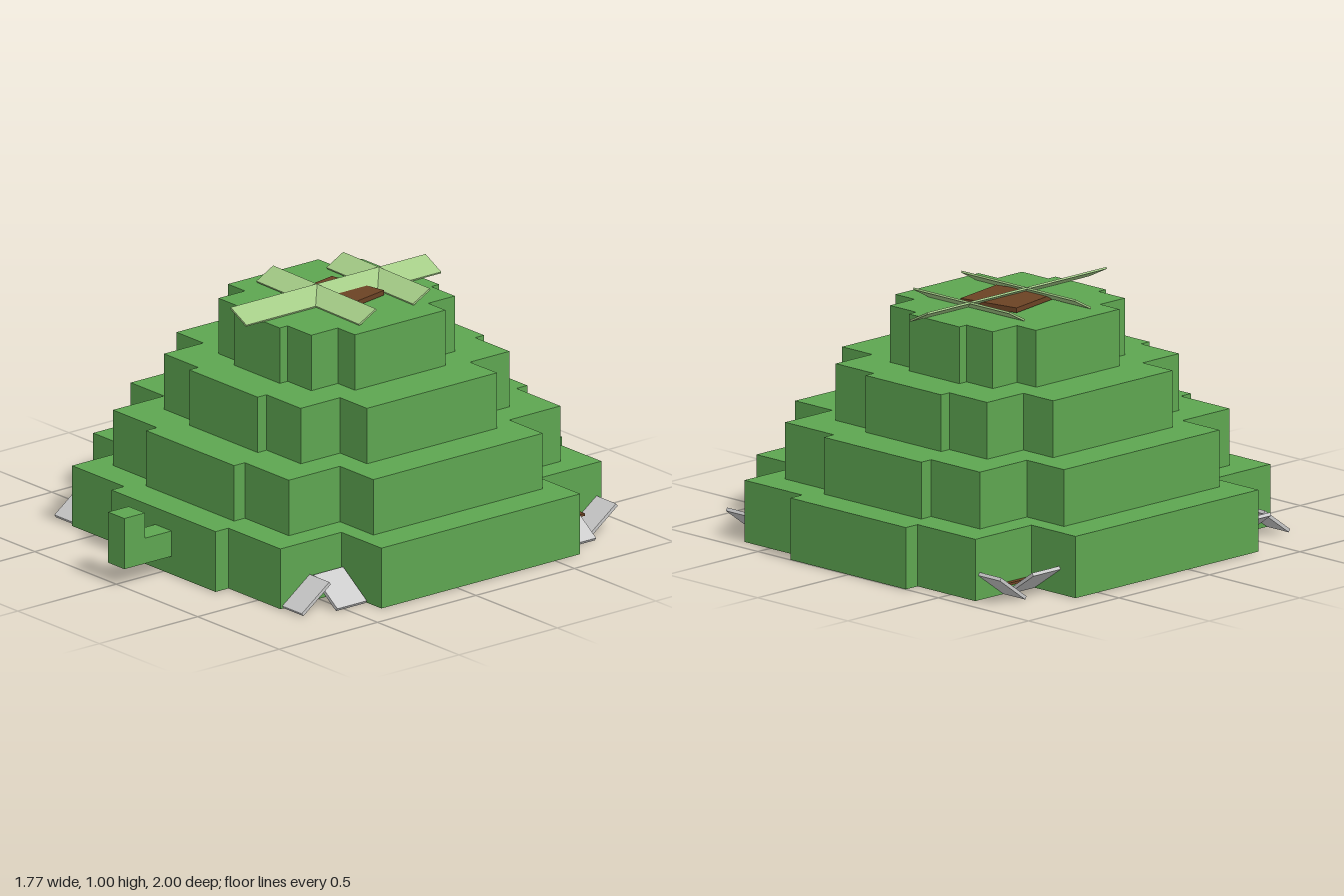
import * as THREE from 'three';

const flat = (name, color) => Object.assign(new THREE.MeshStandardMaterial({ color }), { name });

export function createModel() {
  const green = flat('shell green', 0x5da550);
  const paleGreen = flat('pale green', 0xa3cb86);
  const brown = flat('brown', 0x6b4224);
  const grey = flat('light grey', 0xc8c8c8);

  const model = new THREE.Group();
  model.name = 'steppedShell';

  const add = (name, geometry, material, x, y, z, rx = 0, ry = 0, rz = 0) => {
    const mesh = new THREE.Mesh(geometry, material);
    mesh.name = name;
    mesh.position.set(x, y, z);
    mesh.rotation.set(rx, ry, rz);
    model.add(mesh);
    return mesh;
  };
  const box = (name, size, material, ...place) =>
    add(name, new THREE.BoxGeometry(...size), material, ...place);

  // Four stacked tiers, each outlined by three steps of [half width, half depth]
  const centreZ = -0.12;
  const tiers = [
    { y0: 0, y1: 0.25, steps: [[0.885, 0.505], [0.64, 0.815], [0.32, 0.88]] },
    { y0: 0.25, y1: 0.48, steps: [[0.745, 0.43], [0.54, 0.69], [0.27, 0.745]] },
    { y0: 0.48, y1: 0.71, steps: [[0.585, 0.33], [0.42, 0.53], [0.21, 0.575]] },
    { y0: 0.71, y1: 0.94, steps: [[0.39, 0.23], [0.285, 0.365], [0.14, 0.405]] },
  ];
  tiers.forEach(({ y0, y1, steps }, i) => {
    // Stair corner for one quadrant, then mirrored around the outline
    const corner = [];
    steps.forEach(([x, z], k) => {
      if (k > 0) corner.push([x, steps[k - 1][1]]);
      corner.push([x, z]);
    });
    const back = [...corner].reverse();
    const outline = [
      ...corner,
      ...back.map(([x, z]) => [-x, z]),
      ...corner.map(([x, z]) => [-x, -z]),
      ...back.map(([x, z]) => [x, -z]),
    ];
    const shape = new THREE.Shape(outline.map(([x, z]) => new THREE.Vector2(x, z)));
    const geometry = new THREE.ExtrudeGeometry(shape, { depth: y1 - y0, bevelEnabled: false });
    geometry.rotateX(-Math.PI / 2);
    add(`tier${i + 1}`, geometry, green, 0, y0, centreZ);
  });

  // Hook at the front
  box('hookArm', [0.1, 0.105, 0.16], green, 0, 0.1275, 0.82);
  box('hookTip', [0.1, 0.21, 0.105], green, 0, 0.18, 0.9475);

  // Tilted slats and the brown hatch on the roof
  box('longSlat', [0.108, 0.008, 0.99], paleGreen, 0, 0.969, -0.115, 0, 0, -0.46);
  box('frontCrossSlat', [0.64, 0.008, 0.096], paleGreen, 0, 0.969, -0.017, 0.5, -0.015);
  box('backCrossSlat', [0.54, 0.008, 0.096], paleGreen, 0, 0.969, -0.332, 0.5, -0.015);
  box('roofHatch', [0.265, 0.02, 0.25], brown, 0, 0.953, -0.125, 0, 0.19);

  // Pair of sloping claw plates at every corner
  for (const x of [-1, 1]) {
    for (const [end, z] of [['front', 0.54], ['back', -0.775]]) {
      const side = x > 0 ? 'Left' : 'Right';
      const sideZ = end === 'front' ? z - 0.075 : z + 0.075;
      const endZ = end === 'front' ? z + 0.072 : z - 0.07;
      box(`${end}${side}SideClaw`, [0.178, 0.014, 0.15], grey, x * 0.725, 0.056, sideZ, 0, 0, -0.61);
      box(`${end}${side}EndClaw`, [0.12, 0.014, 0.172], grey, x * 0.7, 0.056, endZ, 0.625);
    }
  }

  // Brown edge plates tucked into the corner notches: [outer x, outer z, height]
  for (const [x, z, y] of [[0.69, -0.81, 0.07], [-0.66, -0.78, 0.04], [-0.69, 0.57, 0.006], [0.655, 0.53, 0.035]]) {
    box('cornerPlate', [0.2, 0.01, 0.25], brown,
      x - Math.sign(x) * 0.1, y, z - Math.sign(z) * 0.125);
  }
  return model;
}
